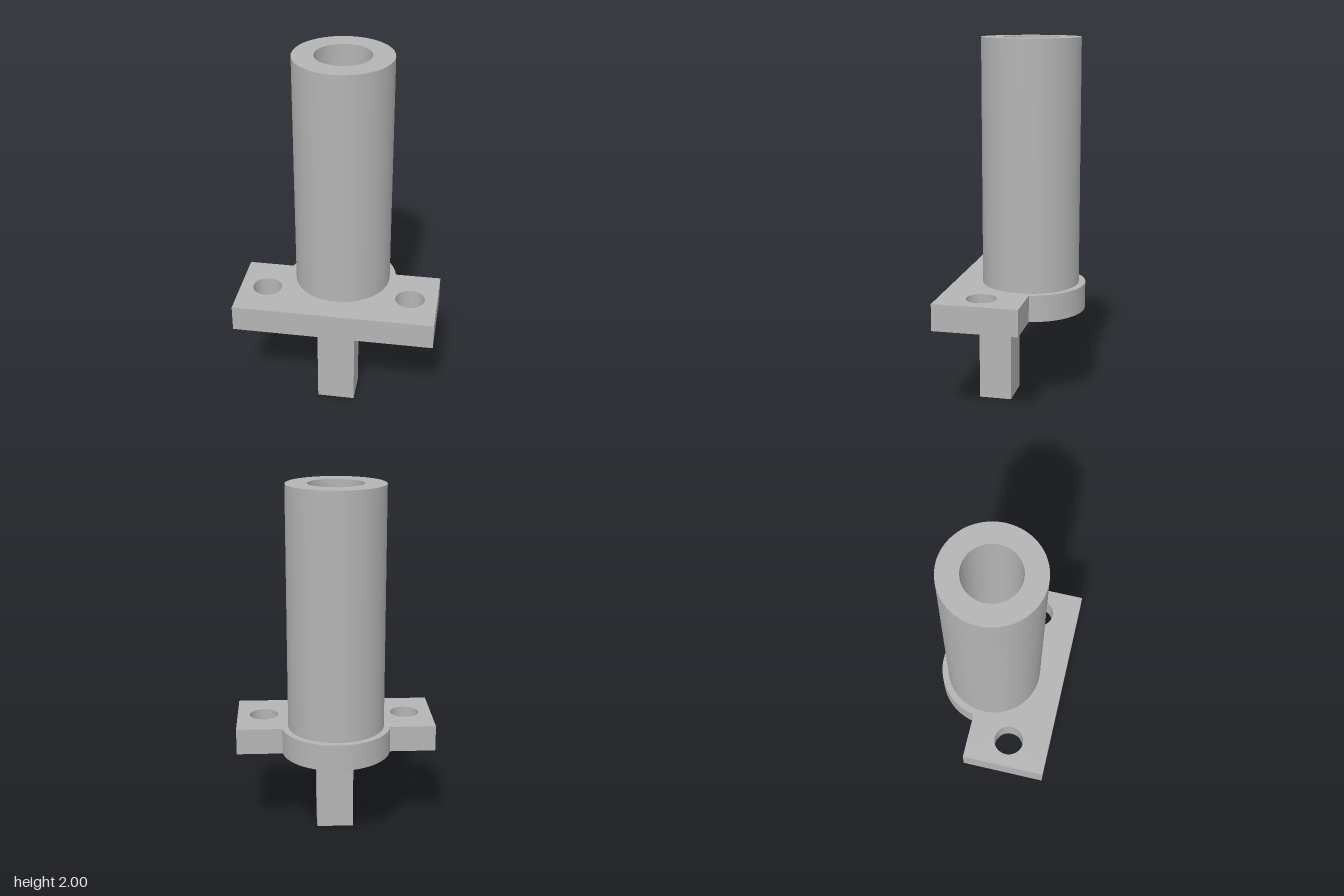
import * as THREE from 'three';
import { toCreasedNormals } from 'three/addons/utils/BufferGeometryUtils.js';

export function createModel() {
  const model = new THREE.Group();
  const grey = new THREE.MeshStandardMaterial({ color: 0xb4b4b4 });
  grey.name = 'grey';

  const add = (name, geometry) => {
    const mesh = new THREE.Mesh(geometry, grey);
    mesh.name = name;
    model.add(mesh);
    return mesh;
  };

  const axisZ = -0.053;                    // centre line of the sleeve
  const plateBottom = 0.525, plateTop = 0.67;
  const halfWidth = 0.55, plateBack = -0.105, plateFront = 0.353;

  // Flange: rectangle with a round bulge at the back and two bolt holes
  const bulgeRadius = 0.301;
  const bulgeAngle = Math.asin((axisZ - plateBack) / bulgeRadius);
  const outline = new THREE.Shape();
  outline.moveTo(-halfWidth, plateFront);
  outline.lineTo(-halfWidth, plateBack);
  outline.absarc(0, axisZ, bulgeRadius, -Math.PI + bulgeAngle, -bulgeAngle, false);
  outline.lineTo(halfWidth, plateBack);
  outline.lineTo(halfWidth, plateFront);
  outline.closePath();
  for (const side of [-1, 1]) {
    const hole = new THREE.Path();
    hole.absarc(side * 0.4, 0.125, 0.081, 0, Math.PI * 2, true);
    outline.holes.push(hole);
  }
  const flange = new THREE.ExtrudeGeometry(outline, {
    depth: plateTop - plateBottom, bevelEnabled: false, curveSegments: 32,
  });
  flange.rotateX(Math.PI / 2).translate(0, plateTop, 0);
  add('flange', toCreasedNormals(flange, 0.5));

  // Sleeve: thick tube with a blind bore that ends at the flange
  const profile = [
    [0.265, plateTop], [0.265, 2], [0.15, 2], [0.15, plateTop + 0.002], [0, plateTop + 0.002],
  ].map(([r, y]) => new THREE.Vector2(r, y));
  const sleeve = new THREE.LatheGeometry(profile, 64);
  add('sleeve', toCreasedNormals(sleeve, 0.5)).position.z = axisZ;

  // Square peg under the flange
  const peg = add('peg', new THREE.BoxGeometry(0.208, plateBottom, 0.18));
  peg.position.set(0, plateBottom / 2, 0.127);

  return model;
}
